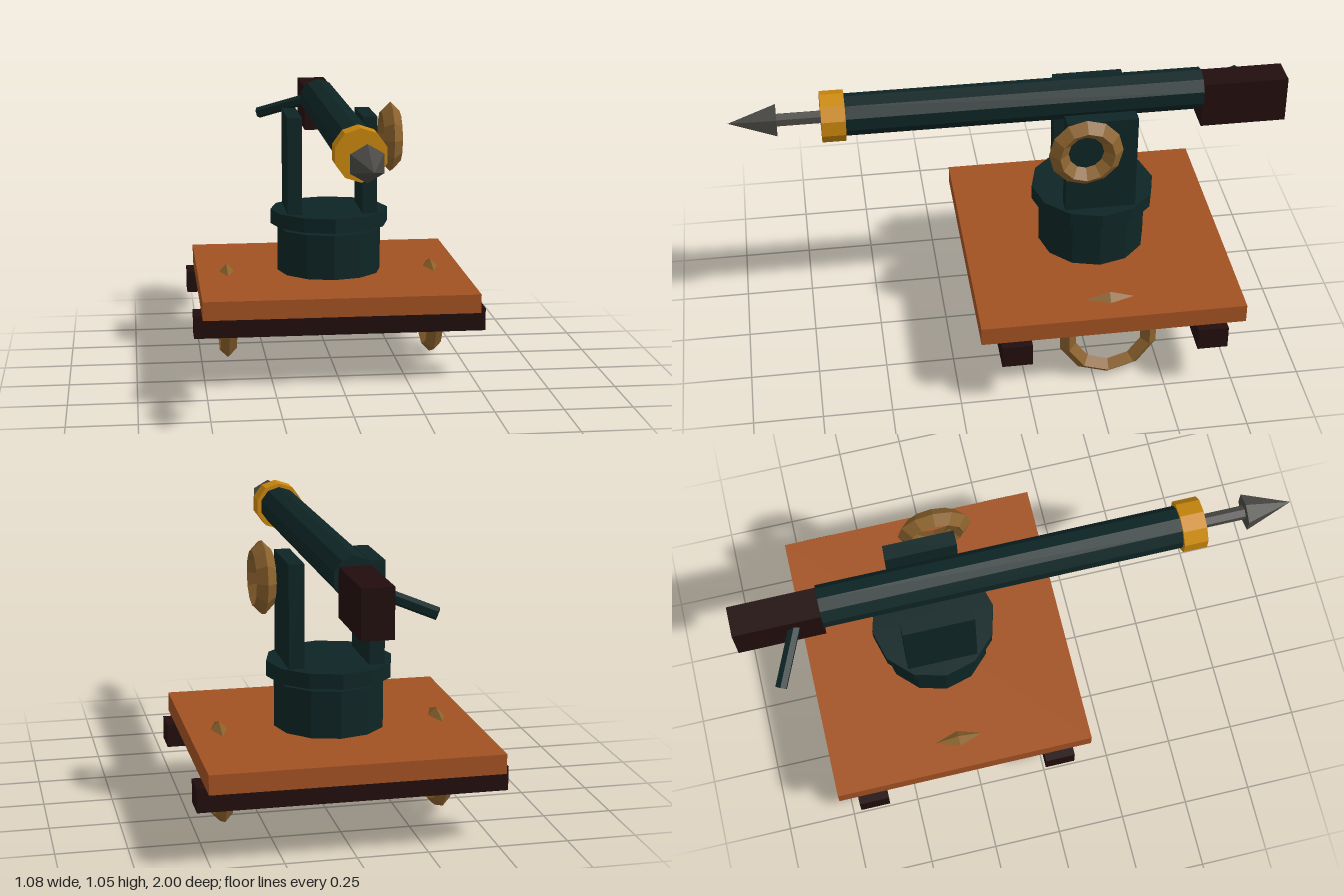
import * as THREE from 'three';

const mat = (name, color) => {
  const m = new THREE.MeshStandardMaterial({ color, flatShading: true });
  m.name = name;
  return m;
};

export function createModel() {
  const wood = mat('orange wood', 0xa25222);
  const darkWood = mat('dark wood', 0x220d0d);
  const iron = mat('dark teal iron', 0x0e2525);
  const rope = mat('tan rope', 0x8b622d);
  const brass = mat('brass', 0xcb880d);
  const steel = mat('grey steel', 0x4a4945);

  const group = new THREE.Group();
  const add = (name, geometry, material, x, y, z) => {
    const mesh = new THREE.Mesh(geometry, material);
    mesh.name = name;
    mesh.position.set(x, y, z);
    group.add(mesh);
    return mesh;
  };
  const box = (w, h, d) => new THREE.BoxGeometry(w, h, d);
  // Cylinder lying along z, with its top end towards +z
  const rod = (rFront, rBack, z0, z1, sides) =>
    new THREE.CylinderGeometry(rFront, rBack, z1 - z0, sides)
      .rotateX(Math.PI / 2).translate(0, 0, (z0 + z1) / 2);
  // Diamond-section ring standing in the yz plane, with a corner at the top
  const ring = (radius, tube, segments) =>
    new THREE.TorusGeometry(radius, tube, 4, segments)
      .rotateZ(Math.PI / 2).rotateY(Math.PI / 2);

  const midZ = -0.305;
  const axisY = 0.956;

  // Platform and its two cross beams
  add('deck', box(1.02, 0.07, 0.96), wood, 0, 0.31, midZ);
  add('frontBeam', box(1.08, 0.085, 0.11), darkWood, 0, 0.2325, 0.05);
  add('backBeam', box(1.08, 0.085, 0.11), darkWood, 0, 0.2325, -0.66);

  // Turntable
  add('pedestal', new THREE.CylinderGeometry(0.199, 0.199, 0.17, 12), iron, 0, 0.43, midZ);
  add('turntable', new THREE.CylinderGeometry(0.226, 0.226, 0.055, 12), iron, 0, 0.5575, midZ);

  // Mirrored yoke arms and carrying rings
  for (const [side, s] of [['left', 1], ['right', -1]]) {
    add(side + 'YokeArm', box(0.055, 0.37, 0.256), iron, s * 0.1425, 0.77, midZ);
    add(side + 'CarryRing', ring(0.156, 0.031, 10), rope, s * 0.397, 0.187, midZ);
  }
  add('ropeCoil', ring(0.098, 0.035, 12), rope, 0.227, 0.869, -0.237);

  // Barrel, muzzle collar and stock
  add('barrel', rod(0.075, 0.075, -0.69, 0.592, 10), iron, 0, axisY + 0.002, 0);
  add('muzzleCollar', rod(0.091, 0.091, 0.59, 0.675, 10), brass, 0, axisY, 0);
  add('stock', box(0.11, 0.172, 0.312), darkWood, 0, 0.914, -0.844);

  // Harpoon
  add('harpoonShaft', rod(0.025, 0.025, 0.5, 0.84, 6), steel, 0, axisY, 0);
  add('harpoonTip', rod(0, 0.064, 0.83, 1, 6), steel, 0, axisY, 0);

  // Slanted crank handle on the right of the stock
  const from = new THREE.Vector3(-0.01, 0.95, -0.77);
  const to = new THREE.Vector3(-0.23, 0.873, -0.878);
  const along = to.clone().sub(from);
  const mid = from.clone().lerp(to, 0.5);
  const handle = add('handle', new THREE.CylinderGeometry(0.022, 0.022, along.length(), 6),
    iron, mid.x, mid.y, mid.z);
  handle.quaternion.setFromUnitVectors(new THREE.Vector3(0, 1, 0), along.normalize());

  return group;
}
